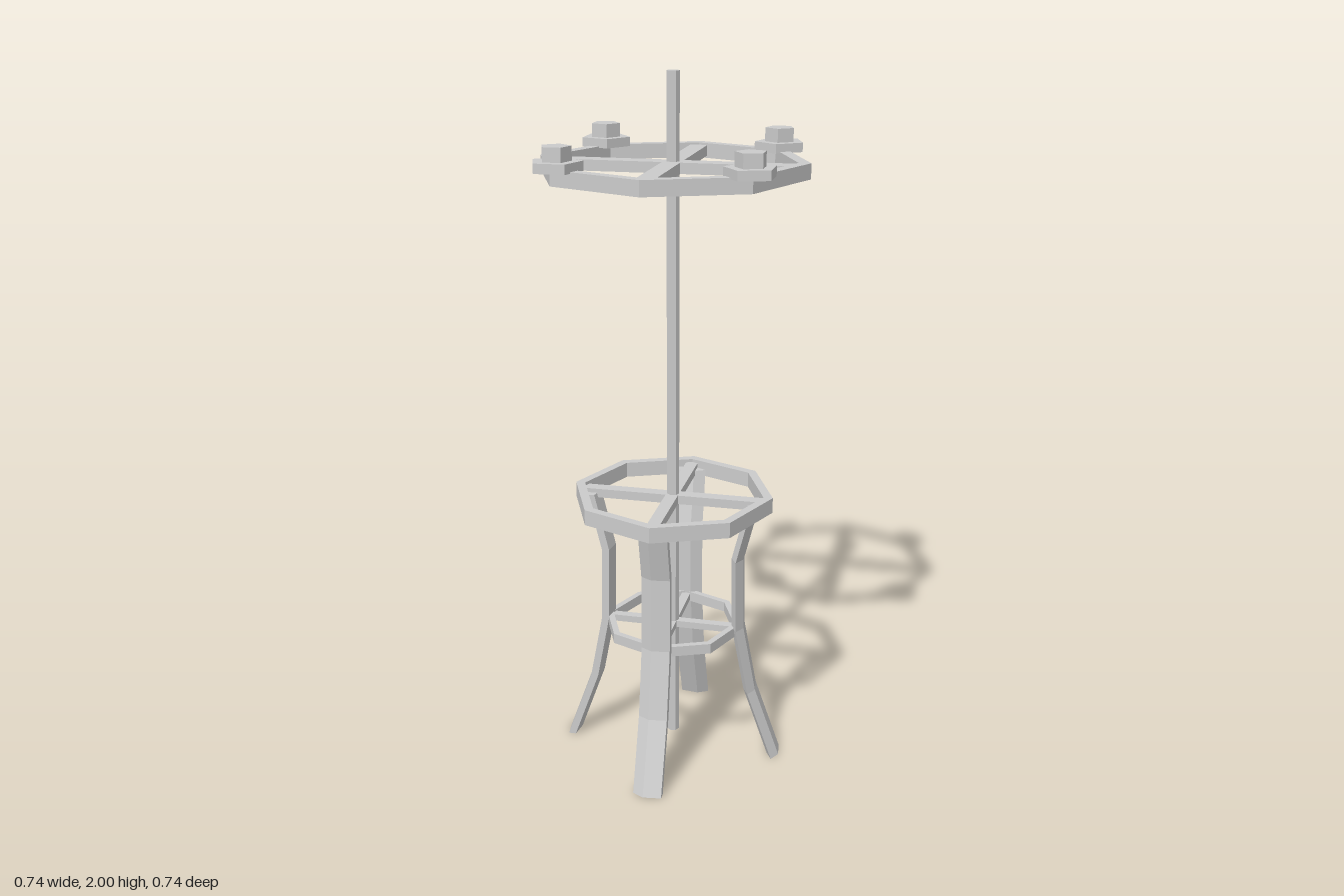
import * as THREE from 'three';

const material = new THREE.MeshStandardMaterial({ color: 0xcccccc, flatShading: true });

function addMesh(parent, name, geometry) {
  const mesh = new THREE.Mesh(geometry, material);
  mesh.name = name;
  parent.add(mesh);
  return mesh;
}

function octagon(radius, PathType) {
  const points = [];
  for (let i = 0; i < 8; i++) {
    const a = (i * Math.PI) / 4;
    points.push(new THREE.Vector2(radius * Math.cos(a), radius * Math.sin(a)));
  }
  return new PathType(points);
}

// Octagonal hoop with two crossed spokes
function makeWheel({ name, outer, inner, bottom, top, spokeWidth, spokeHeight }) {
  const wheel = new THREE.Group();
  wheel.name = name;
  const shape = octagon(outer, THREE.Shape);
  shape.holes.push(octagon(inner, THREE.Path));
  const hoop = new THREE.ExtrudeGeometry(shape, { depth: top - bottom, bevelEnabled: false });
  hoop.rotateX(-Math.PI / 2).translate(0, bottom, 0);
  addMesh(wheel, 'hoop', hoop);
  for (let i = 0; i < 2; i++) {
    const spoke = addMesh(wheel, 'spoke', new THREE.BoxGeometry(inner * 2 + 0.005, spokeHeight, spokeWidth));
    spoke.position.y = (bottom + top) / 2;
    spoke.rotation.y = (i * Math.PI) / 2;
  }
  return wheel;
}

// Bowed leg: a flattened pentagon swept through [radius, height] stations
function legGeometry() {
  const stations = [[0.311, 0], [0.236, 0.21], [0.198, 0.41], [0.195, 0.63], [0.237, 0.8]];
  const sides = 5;
  const positions = [];
  const indices = [];
  for (const [r, y] of stations) {
    for (let j = 0; j < sides; j++) {
      const a = (j * Math.PI * 2) / sides;
      positions.push(-0.047 * Math.cos(a), y, r + 0.0185 * Math.sin(a));
    }
  }
  for (let i = 0; i < stations.length - 1; i++) {
    for (let j = 0; j < sides; j++) {
      const a = i * sides + j;
      const b = i * sides + ((j + 1) % sides);
      indices.push(a, b, b + sides, a, b + sides, a + sides);
    }
  }
  const last = (stations.length - 1) * sides;
  for (let j = 1; j < sides - 1; j++) {
    indices.push(0, j + 1, j);
    indices.push(last, last + j, last + j + 1);
  }
  const geometry = new THREE.BufferGeometry();
  geometry.setAttribute('position', new THREE.Float32BufferAttribute(positions, 3));
  geometry.setIndex(indices);
  const flat = geometry.toNonIndexed();
  flat.computeVertexNormals();
  return flat;
}

export function createModel() {
  const model = new THREE.Group();
  model.name = 'stand';

  // Central pole
  const pole = addMesh(model, 'pole', new THREE.CylinderGeometry(0.018, 0.018, 1.96, 7));
  pole.position.y = 1.02;
  pole.rotation.y = Math.PI / 2;

  // Three spoked hoops
  const wheels = [
    { name: 'topWheel', outer: 0.371, inner: 0.337, bottom: 1.728, top: 1.77, spokeWidth: 0.05, spokeHeight: 0.03 },
    { name: 'middleWheel', outer: 0.291, inner: 0.264, bottom: 0.777, top: 0.822, spokeWidth: 0.036, spokeHeight: 0.026 },
    { name: 'lowerWheel', outer: 0.203, inner: 0.184, bottom: 0.385, top: 0.415, spokeWidth: 0.026, spokeHeight: 0.02 },
  ];
  for (const spec of wheels) model.add(makeWheel(spec));

  const leg = legGeometry();
  const plate = new THREE.CylinderGeometry(0.071, 0.071, 0.026, 5);
  const knob = new THREE.CylinderGeometry(0.042, 0.042, 0.04, 5);
  for (let i = 0; i < 4; i++) {
    const angle = (i * Math.PI) / 2;

    // Legs on the four axes
    addMesh(model, 'leg', leg).rotation.y = angle;

    // Pentagonal pegs on the diagonal corners of the top hoop
    const corner = new THREE.Group();
    corner.name = 'peg';
    corner.rotation.y = angle;
    for (const [name, geometry, y] of [['pegPlate', plate, 1.779], ['pegKnob', knob, 1.81]]) {
      addMesh(corner, name, geometry).position.set(0.248, y, -0.254);
    }
    model.add(corner);
  }
  return model;
}
